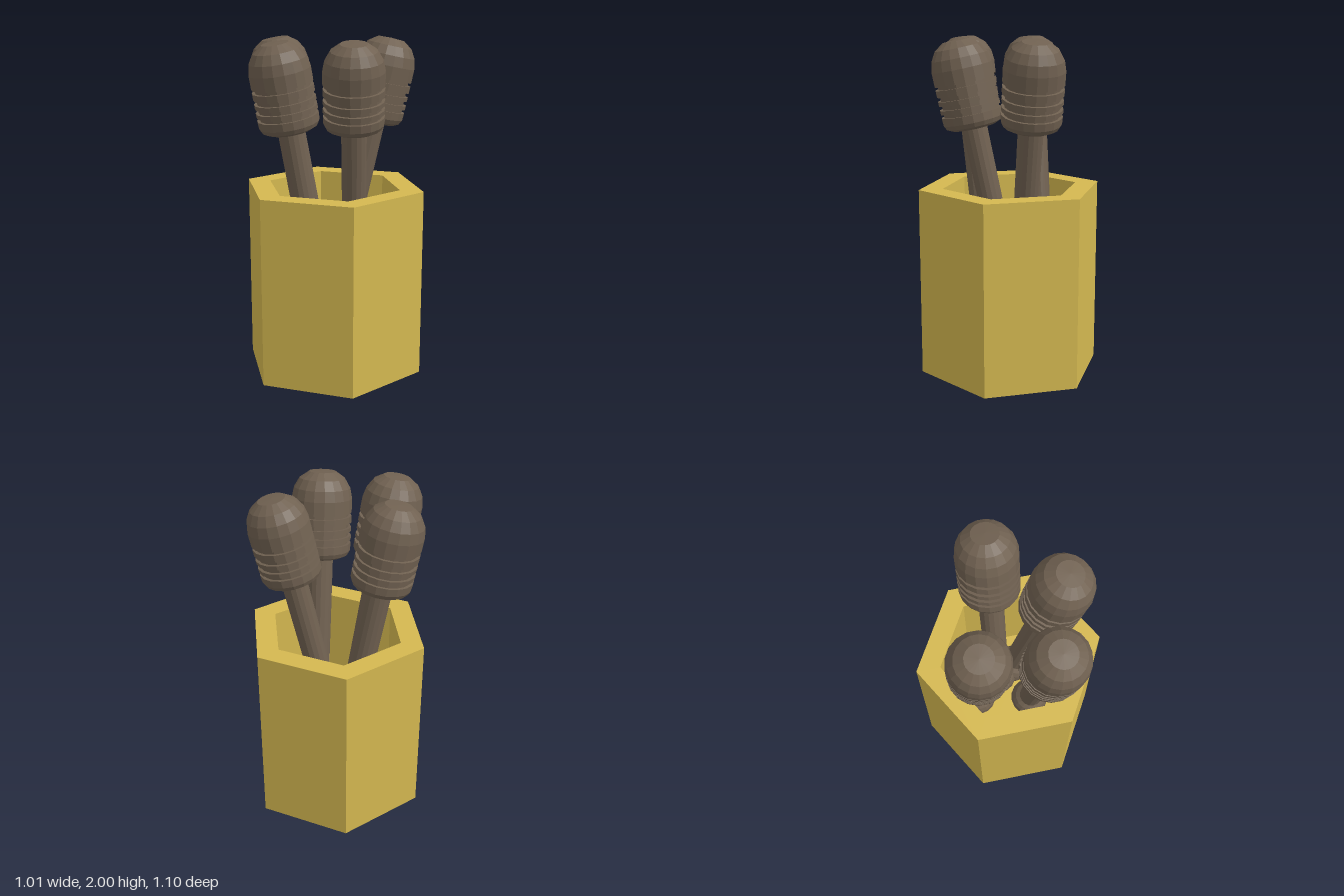
import * as THREE from 'three';

const gold = new THREE.MeshStandardMaterial({ color: 0xd4b850, flatShading: true });
const wood = new THREE.MeshStandardMaterial({ color: 0x706151, flatShading: true });

function lathe(name, profile, sides, material) {
  const points = profile.map(([r, y]) => new THREE.Vector2(r, y));
  const mesh = new THREE.Mesh(new THREE.LatheGeometry(points, sides), material);
  mesh.name = name;
  return mesh;
}

// Dipper built along y, with its tip at y = 0 and the handle hanging below
function createDipper(foot, tip) {
  const dipper = new THREE.Group();
  dipper.name = 'dipper';
  const axis = new THREE.Vector3().subVectors(tip, foot);
  const length = axis.length();

  // Grooved head: bevelled base, three rings and a rounded cap
  const R = 0.175, groove = 0.158;
  const head = [[0, -0.5], [0.13, -0.5], [0.16, -0.485], [R - 0.002, -0.46], [R, -0.415]];
  for (const [low, high] of [[-0.395, -0.37], [-0.345, -0.32], [-0.295, -0.255]]) {
    head.push([groove, head.at(-1)[1]], [groove, low], [R, low], [R, high]);
  }
  head.push([groove, -0.255], [groove, -0.235], [R, -0.235], [R, -0.155],
    [0.163, -0.095], [0.132, -0.042], [0.078, -0.004], [0, 0]);
  dipper.add(lathe('dipperHead', head, 18, wood));

  // Handle
  const handle = new THREE.Mesh(new THREE.CylinderGeometry(0.074, 0.07, length - 0.48, 16, 1, true), wood);
  handle.position.y = -(length + 0.48) / 2;
  handle.name = 'handle';

  // Round end of the handle
  const knob = new THREE.Mesh(new THREE.SphereGeometry(0.115, 16, 10), wood);
  knob.position.y = -length;
  knob.name = 'handleKnob';
  dipper.add(handle, knob);

  dipper.position.copy(tip);
  dipper.quaternion.setFromUnitVectors(new THREE.Vector3(0, 1, 0), axis.normalize());
  return dipper;
}

export function createModel() {
  const model = new THREE.Group();
  model.name = 'dipperPot';

  // Hollow six-sided pot
  const pot = lathe('pot', [[0, 0], [0.55, 0], [0.55, 1.125], [0.408, 1.125], [0.408, 0.5], [0, 0.5]], 6, gold);
  pot.position.x = 0.01;
  model.add(pot);

  // Four dippers leaning outward: foot x, z and tip x, z
  const leans = [
    [-0.047, -0.214, -0.303, -0.21],
    [0.067, -0.06, 0.367, -0.052],
    [-0.117, 0.108, -0.36, 0.2],
    [0.125, 0.055, 0.055, 0.33],
  ];
  for (const [fx, fz, tx, tz] of leans) {
    model.add(createDipper(new THREE.Vector3(fx, 0.63, fz), new THREE.Vector3(tx, 1.985, tz)));
  }
  return model;
}
